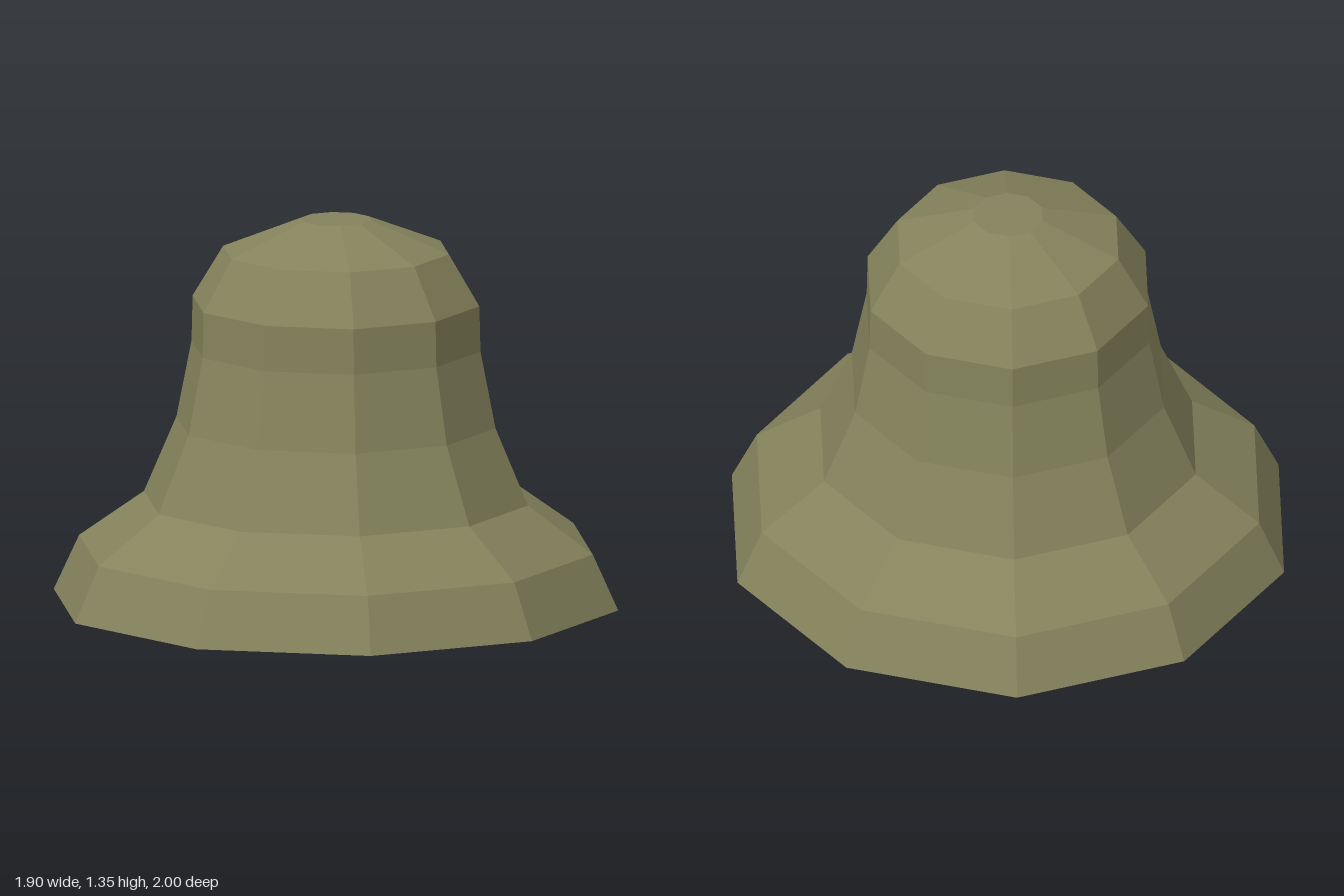
import * as THREE from 'three';

export function createModel() {
  const group = new THREE.Group();
  group.name = 'bell';
  const material = new THREE.MeshStandardMaterial({ color: 0x85835c, flatShading: true });

  // Closed wall profile [radius, height]: down the inside, across the rim, up the outside
  const inside = [
    [0, 1.26], [0.1, 1.26], [0.34, 1.17], [0.42, 1.03], [0.42, 0.89],
    [0.48, 0.62], [0.6, 0.37], [0.81, 0.21], [0.9, 0],
  ];
  const outside = [
    [1, 0], [0.91, 0.195], [0.68, 0.36], [0.565, 0.63], [0.512, 0.9],
    [0.508, 1.06], [0.4, 1.24], [0.125, 1.35], [0, 1.35],
  ];
  const profile = [...inside, ...outside].map(([r, y]) => new THREE.Vector2(r, y));

  // Ten-sided bell with corners on the z axis
  const shell = new THREE.Mesh(new THREE.LatheGeometry(profile, 10), material);
  shell.name = 'bellShell';
  group.add(shell);
  return group;
}
